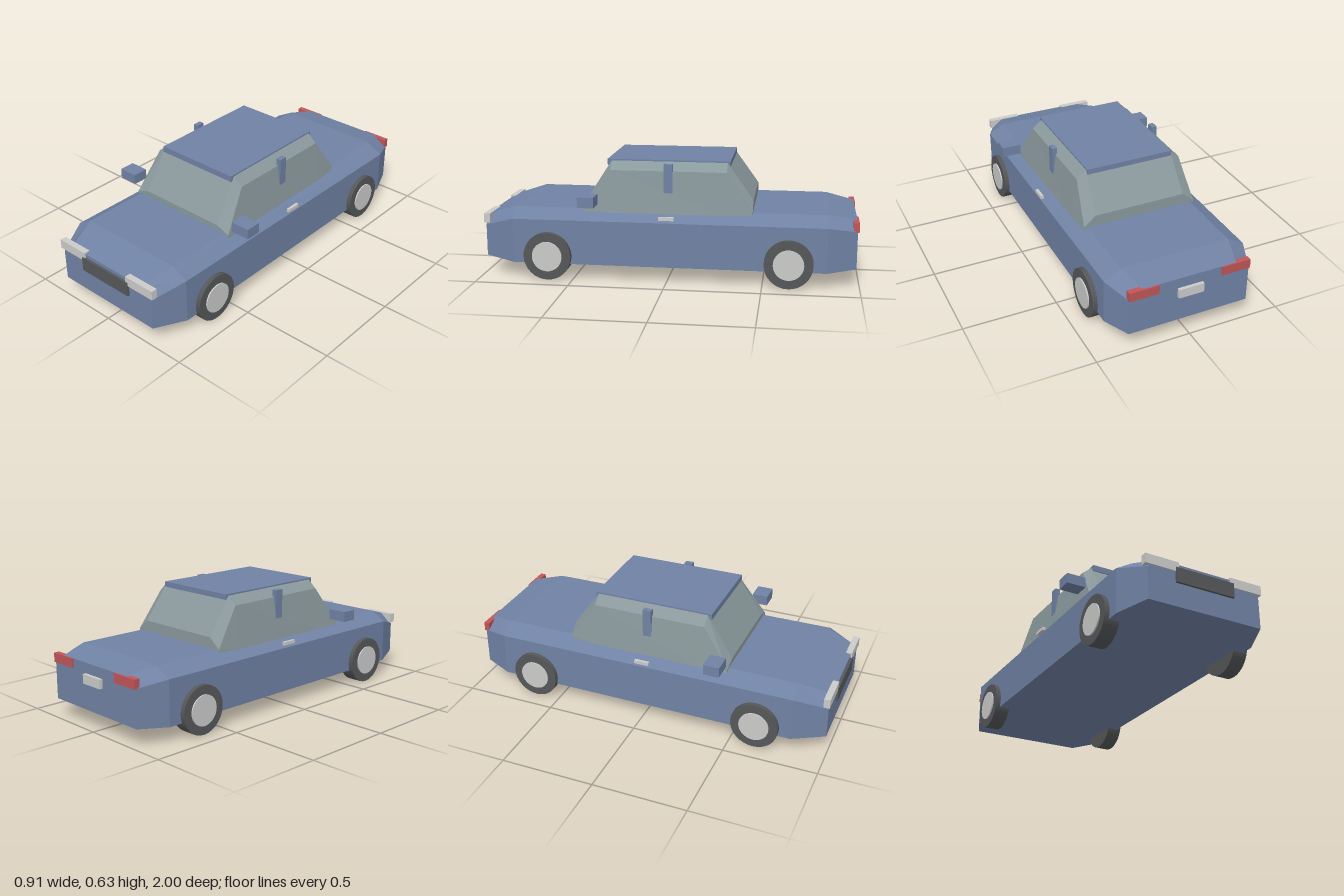
import * as THREE from 'three';

const paint = (name, color) => {
  const m = new THREE.MeshStandardMaterial({ color });
  m.name = name;
  return m;
};

// Faceted hull through six-sided sections, listed from back to front:
// [z, bottom half-width, y, shoulder half-width, y, top half-width, y]
function hull(sections) {
  const rings = sections.map(([z, w0, y0, w1, y1, w2, y2]) => [
    [-w0, y0, z], [w0, y0, z], [w1, y1, z], [w2, y2, z], [-w2, y2, z], [-w1, y1, z],
  ]);
  const pos = [];
  const tri = (a, b, c) => pos.push(...a, ...b, ...c);
  for (let s = 0; s < rings.length - 1; s++) {
    const back = rings[s], front = rings[s + 1];
    for (let i = 0; i < 6; i++) {
      const j = (i + 1) % 6;
      tri(back[i], back[j], front[j]);
      tri(back[i], front[j], front[i]);
    }
  }
  const first = rings[0], last = rings[rings.length - 1];
  for (let i = 1; i < 5; i++) {
    tri(last[0], last[i], last[i + 1]);
    tri(first[0], first[i + 1], first[i]);
  }
  const g = new THREE.BufferGeometry();
  g.setAttribute('position', new THREE.Float32BufferAttribute(pos, 3));
  g.computeVertexNormals();
  return g;
}

export function createModel() {
  const car = new THREE.Group();
  car.name = 'car';
  const body = paint('body blue', 0x7082a4);
  const glass = paint('window grey', 0x8a999c);
  const rubber = paint('tyre black', 0x555759);
  const light = paint('light grey', 0xcbccca);
  const red = paint('tail light red', 0xc05558);

  const add = (name, geometry, material, parent = car) => {
    const m = new THREE.Mesh(geometry, material);
    m.name = name;
    parent.add(m);
    return m;
  };
  // Box given by its extents on each axis
  const box = (name, material, x0, x1, y0, y1, z0, z1) =>
    add(name, new THREE.BoxGeometry(x1 - x0, y1 - y0, z1 - z0), material)
      .position.set((x0 + x1) / 2, (y0 + y1) / 2, (z0 + z1) / 2);
  const pair = (name, material, x0, x1, ...rest) => {
    box('left' + name, material, x0, x1, ...rest);
    box('right' + name, material, -x1, -x0, ...rest);
  };

  // Lower body, tapered at both ends
  add('body', hull([
    [-0.982, 0.325, 0.095, 0.325, 0.293, 0.25, 0.34],
    [-0.83, 0.385, 0.083, 0.385, 0.32, 0.295, 0.37],
    [0.82, 0.385, 0.083, 0.385, 0.32, 0.3, 0.37],
    [0.988, 0.315, 0.098, 0.315, 0.267, 0.25, 0.32],
  ]), body);

  // Glass cabin and roof
  add('windows', hull([
    [-0.443, 0.316, 0.36, 0.315, 0.375, 0.25, 0.428],
    [-0.305, 0.322, 0.355, 0.292, 0.577, 0.24, 0.62],
    [0.31, 0.326, 0.355, 0.292, 0.577, 0.24, 0.62],
    [0.452, 0.327, 0.355, 0.326, 0.37, 0.25, 0.4],
  ]), glass);
  box('roof', body, -0.24, 0.24, 0.595, 0.628, -0.32, 0.332);
  pair('DoorPillar', body, 0.282, 0.31, 0.465, 0.616, -0.023, 0.023);

  // Side details
  pair('Mirror', body, 0.35, 0.455, 0.405, 0.46, 0.367, 0.452);
  pair('DoorHandle', light, 0.374, 0.39, 0.335, 0.353, -0.04, 0.04);

  // Front and rear details
  pair('Headlight', light, 0.147, 0.33, 0.28, 0.33, 0.962, 0.995);
  box('grille', rubber, -0.163, 0.163, 0.222, 0.3, 0.98, 1);
  pair('TailLight', red, 0.17, 0.328, 0.291, 0.34, -0.99, -0.96);
  box('rearPlate', light, -0.068, 0.068, 0.236, 0.285, -1, -0.98);

  // Wheels
  const tyreGeo = new THREE.CylinderGeometry(0.127, 0.127, 0.082, 32).rotateZ(Math.PI / 2);
  const hubGeo = new THREE.CylinderGeometry(0.08, 0.08, 0.082, 32).rotateZ(Math.PI / 2);
  for (const side of [1, -1]) {
    for (const [end, z] of [['front', 0.632], ['rear', -0.635]]) {
      const wheel = new THREE.Group();
      wheel.name = end + (side > 0 ? 'Left' : 'Right') + 'Wheel';
      wheel.position.set(side * 0.369, 0.127, z);
      add('tyre', tyreGeo, rubber, wheel);
      add('hub', hubGeo, light, wheel).position.x = side * 0.007;
      car.add(wheel);
    }
  }
  return car;
}
